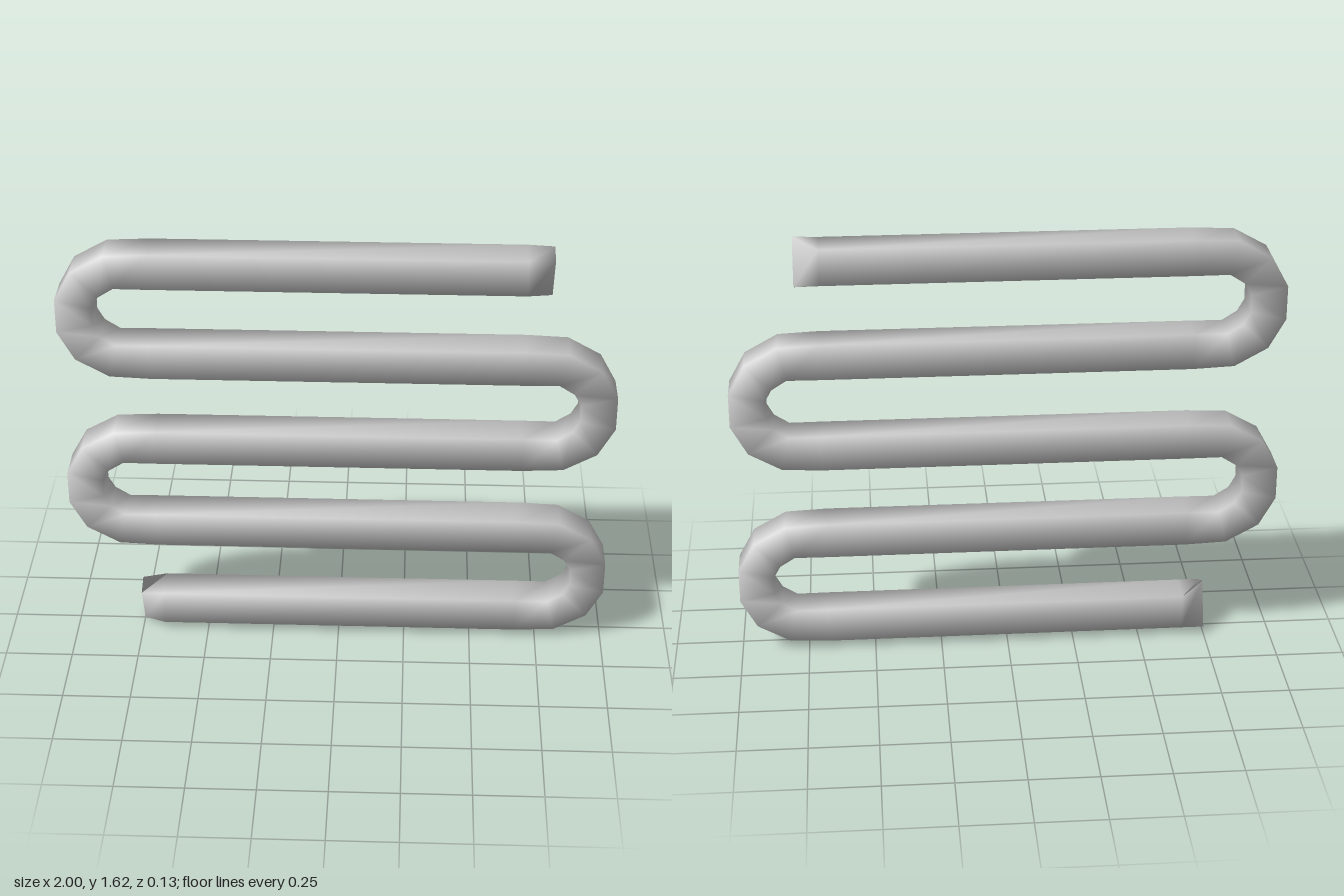
import * as THREE from 'three';

const HALF = 0.067;     // half thickness of the square bar
const TIP = 0.0945;     // half height of the twisted tips
const PITCH = 0.358;    // distance between rows
const ROWS = 5;

// Half of one U-bend, from straight run to apex: [outer x, outer dy, inner x, inner dy]
const BEND = [
  [0.67, 0.246, 0.67, 0.112],
  [0.82, 0.239, 0.79, 0.113],
  [0.94, 0.172, 0.845, 0.078],
  [1.0, 0.063, 0.87, 0.033],
];

// Cross-section from the left and right edges of the path
const ring = (l, r) => [
  [...l, HALF], [...l, -HALF], [...r, -HALF], [...r, HALF],
];

// Tip section: two opposite corners stay, the other two slide to the middle
const tip = (x, y) => [
  [x, y + HALF, HALF], [x, y + TIP, 0], [x, y - HALF, -HALF], [x, y - TIP, 0],
];

function sweep(rings) {
  const index = [];
  for (let i = 0; i < rings.length - 1; i++) {
    for (let j = 0; j < 4; j++) {
      const a = i * 4 + j, b = i * 4 + (j + 1) % 4;
      index.push(a, a + 4, b + 4, a, b + 4, b);
    }
  }
  // end caps
  const e = (rings.length - 1) * 4;
  index.push(0, 1, 2, 0, 2, 3, e, e + 2, e + 1, e, e + 3, e + 2);
  const geo = new THREE.BufferGeometry();
  geo.setAttribute('position', new THREE.Float32BufferAttribute(rings.flat(2), 3));
  geo.setIndex(index);
  geo.computeVertexNormals();
  return geo;
}

export function createModel() {
  const bottom = TIP, top = TIP + PITCH * (ROWS - 1);
  const straight = (x, y) => ring([x, y + HALF], [x, y - HALF]);

  // lower tip and start of the first row
  const rings = [tip(-0.75, bottom), straight(-0.665, bottom)];

  // U-bends, alternating right and left
  for (let i = 0; i < ROWS - 1; i++) {
    const side = i % 2 ? -1 : 1;
    const mid = bottom + PITCH * (i + 0.5);
    for (let k = 0; k < 8; k++) {
      const [ox, oy, ix, iy] = BEND[k < 4 ? k : 7 - k];
      const up = k < 4 ? -1 : 1;
      const outer = [side * ox, mid + up * oy];
      const inner = [side * ix, mid + up * iy];
      rings.push(side > 0 ? ring(inner, outer) : ring(outer, inner));
    }
  }

  // end of the last row and upper tip
  rings.push(straight(0.66, top), tip(0.75, top));

  const coil = new THREE.Mesh(
    sweep(rings),
    new THREE.MeshStandardMaterial({ color: 0xcccccc }),
  );
  coil.name = 'serpentineCoil';

  const group = new THREE.Group();
  group.name = 'heatingCoil';
  group.add(coil);
  return group;
}
